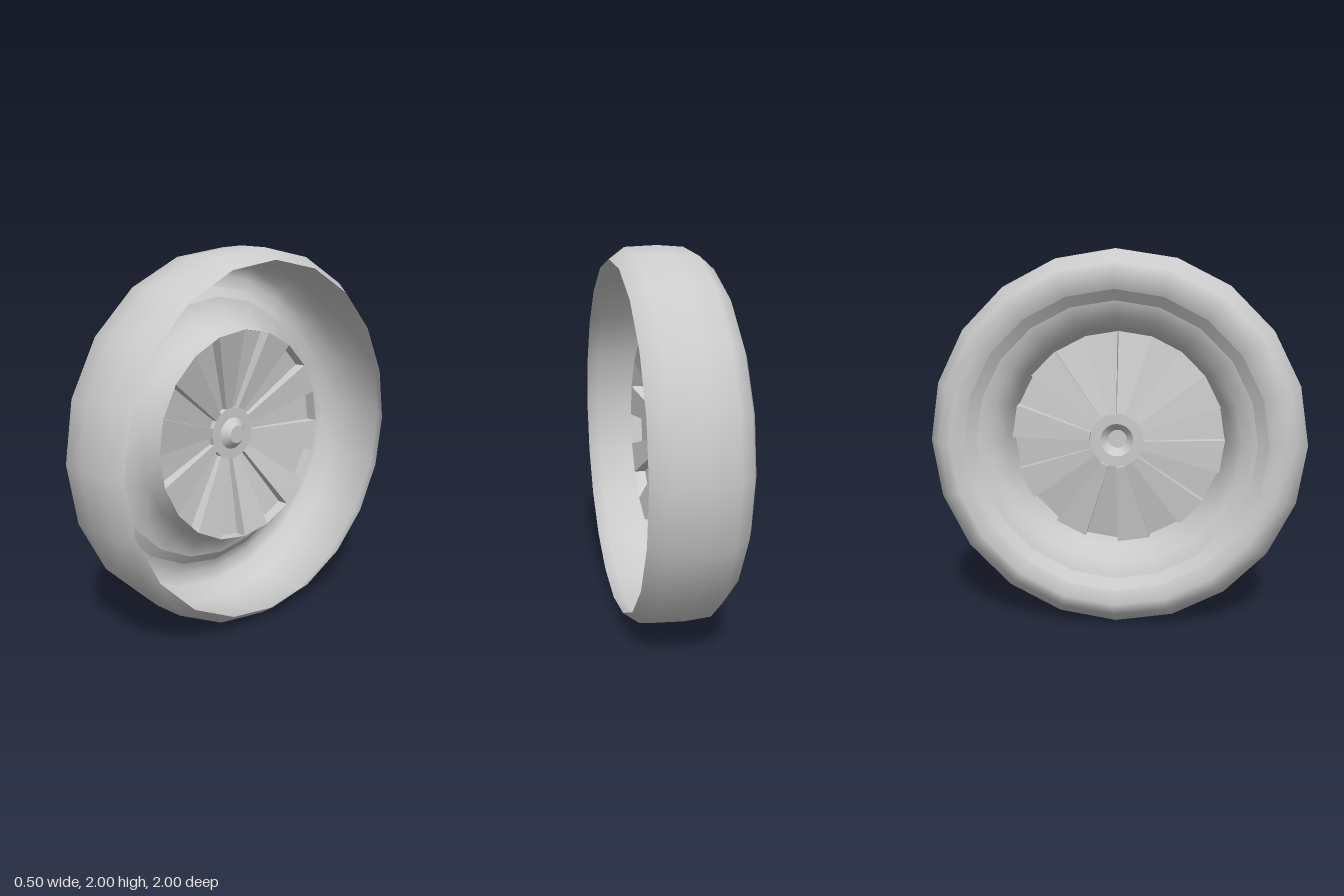
import * as THREE from 'three';

const SIDES = 20;
const STEP = (Math.PI * 2) / SIDES;

// Ring of revolution about the x axis; the profile lists [radius, x]
function ring(name, profile, material) {
  const geometry = new THREE.LatheGeometry(profile.map(([r, x]) => new THREE.Vector2(r, x)), SIDES);
  geometry.rotateZ(-Math.PI / 2);
  const mesh = new THREE.Mesh(geometry, material);
  mesh.name = name;
  return mesh;
}

// Dished disc of radial panels, every other one sunk towards -x
function spokeDisc(material) {
  const positions = [];
  const inner = 0.145, outer = 0.575;
  const xIn = -0.07, xOut = 0.03;
  const sinkIn = 0.03, sinkOut = 0.065;
  const at = (r, x, a) => [x, r * Math.sin(a), -r * Math.cos(a)];
  const quad = (a, b, c, d) => positions.push(...a, ...b, ...c, ...a, ...c, ...d);

  for (let k = 0; k < SIDES; k++) {
    const a = k * STEP, b = a + STEP;
    const sunk = k % 2 === 0;
    const x0 = sunk ? xIn - sinkIn : xIn;
    const x1 = sunk ? xOut - sinkOut : xOut;
    // flat collar round the hub, then the panel
    quad(at(0.088, xIn, a), at(inner, xIn, a), at(inner, xIn, b), at(0.088, xIn, b));
    quad(at(inner, x0, a), at(outer, x1, a), at(outer, x1, b), at(inner, x0, b));
    if (!sunk) continue;
    // walls of the sunken panel
    quad(at(inner, xIn, a), at(inner, x0, a), at(inner, x0, b), at(inner, xIn, b));
    quad(at(outer, x1, a), at(outer, xOut, a), at(outer, xOut, b), at(outer, x1, b));
    quad(at(inner, x0, a), at(inner, xIn, a), at(outer, xOut, a), at(outer, x1, a));
    quad(at(inner, xIn, b), at(inner, x0, b), at(outer, x1, b), at(outer, xOut, b));
  }
  const geometry = new THREE.BufferGeometry();
  geometry.setAttribute('position', new THREE.Float32BufferAttribute(positions, 3));
  geometry.computeVertexNormals();
  const mesh = new THREE.Mesh(geometry, material);
  mesh.name = 'spokes';
  return mesh;
}

export function createModel() {
  const material = new THREE.MeshStandardMaterial({ color: 0xcccccc, side: THREE.DoubleSide });
  const wheel = new THREE.Group();
  wheel.name = 'wheel';

  // open tyre shell, curling inwards on the -x side
  wheel.add(ring('tyre', [
    [0.79, -0.22], [0.86, -0.25], [0.925, -0.22], [0.992, -0.14],
    [1.0, 0], [0.99, 0.17], [0.93, 0.25],
  ], material));

  // bevelled lip and bowl of the rim
  wheel.add(ring('rimLip', [[0.79, -0.22], [0.735, -0.18]], material));
  wheel.add(ring('rimBowl', [
    [0.735, -0.18], [0.655, -0.155], [0.6, -0.08], [0.575, 0.03],
  ], material));

  wheel.add(spokeDisc(material));

  // hollow hub cap: sloping side and flat tip
  wheel.add(ring('hubSide', [[0.088, -0.07], [0.05, -0.03]], material));
  wheel.add(ring('hubTip', [[0.05, -0.03], [0, -0.03]], material));

  wheel.position.y = 1;
  const model = new THREE.Group();
  model.name = 'model';
  model.add(wheel);
  return model;
}
